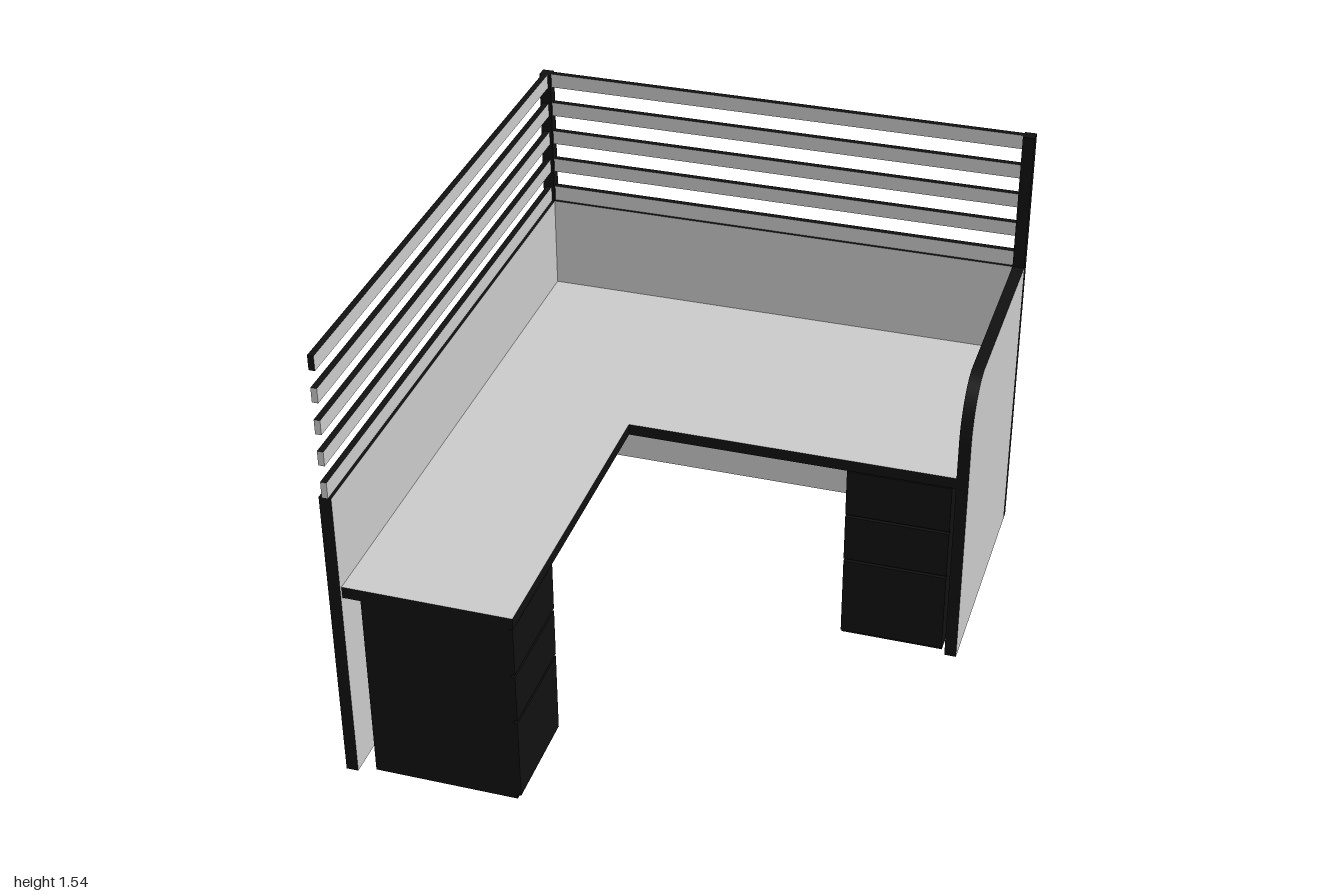
import * as THREE from 'three';

const grey = new THREE.MeshStandardMaterial({ color: 0xcccccc });
const black = new THREE.MeshStandardMaterial({ color: 0x111111 });

// Overall limits and wall thickness
const X = 0.87, Z = 1, T = 0.04;
const WALL = 1.05, TOP = 1.54;
const INNER = X - T, BACK = -Z + T, FRONT = -0.12;

// Box given by its minimum and maximum corners
function box(name, min, max, material) {
  const size = max.map((v, i) => v - min[i]);
  const mesh = new THREE.Mesh(new THREE.BoxGeometry(...size), material);
  mesh.position.set(...max.map((v, i) => (v + min[i]) / 2));
  mesh.name = name;
  return mesh;
}

// Drawer pedestal facing +z, with its front centre at the origin
function pedestal(name) {
  const g = new THREE.Group();
  g.name = name;
  const w = 0.175, front = 0.012;
  g.add(box('cabinetBody', [-w, 0.01, -0.49], [w, 0.68, -front], black));
  const levels = [0.02, 0.32, 0.5, 0.68];
  for (let i = 0; i < 3; i++) {
    g.add(box('drawerFront', [-w, levels[i] + 0.005, -front], [w, levels[i + 1] - 0.005, 0], black));
  }
  return g;
}

export function createModel() {
  const model = new THREE.Group();
  model.name = 'cubicleWorkstation';

  // Panels: grey faces with black edges (material order +x -x +y -y +z -z)
  const alongZ = [grey, grey, black, black, black, black];
  const alongX = [black, black, black, black, grey, grey];
  model.add(box('sidePanel', [-X, 0, BACK], [-INNER, WALL, Z], alongZ));
  model.add(box('backPanel', [-INNER, 0, -Z], [INNER, WALL, BACK], alongX));

  // Corner posts
  model.add(box('cornerPost', [-X, 0, -Z], [-INNER, TOP, BACK], black));
  model.add(box('cornerPost', [INNER, 0, -Z], [X, TOP, BACK], black));

  // Short end panel with a rounded upper front corner
  const end = new THREE.Shape();
  end.moveTo(BACK, 0);
  end.lineTo(FRONT, 0);
  end.lineTo(FRONT, 0.85);
  end.absellipse(-0.28, 0.85, 0.16, 0.2, 0, Math.PI / 2, false);
  end.lineTo(BACK, WALL);
  end.closePath();
  const endGeo = new THREE.ExtrudeGeometry(end, { depth: T, bevelEnabled: false, curveSegments: 24 });
  endGeo.rotateY(-Math.PI / 2).translate(X, 0, 0);
  const endPanel = new THREE.Mesh(endGeo, [grey, black]);
  endPanel.name = 'roundedEndPanel';
  model.add(endPanel);

  // Horizontal slats above the two tall panels
  const half = 0.01, mid = X - T / 2;
  for (let i = 0; i < 5; i++) {
    const y0 = i === 0 ? WALL : 1.055 + i * 0.109;
    const y1 = 1.105 + i * 0.109;
    const tip = i === 4 ? black : grey;
    model.add(box('sideSlat', [-mid - half, y0, BACK], [-mid + half, y1, Z],
      [grey, grey, black, black, tip, tip]));
    model.add(box('backSlat', [-INNER, y0, -Z + T / 2 - half], [INNER, y1, -Z + T / 2 + half], alongX));
  }

  // L-shaped worktop with black edge band (shape y is -z)
  const corners = [[-INNER, BACK], [-INNER, 0.99], [-0.28, 0.99], [-0.28, FRONT], [INNER, FRONT], [INNER, BACK]];
  const outline = new THREE.Shape(corners.map(([x, z]) => new THREE.Vector2(x, -z)));
  const deskGeo = new THREE.ExtrudeGeometry(outline, { depth: 0.04, bevelEnabled: false });
  deskGeo.rotateX(-Math.PI / 2).translate(0, 0.68, 0);
  const desk = new THREE.Mesh(deskGeo, [grey, black]);
  desk.name = 'worktop';
  model.add(desk);

  // Drawer pedestals under each end of the worktop
  const endPedestal = pedestal('endPedestal');
  endPedestal.position.set(0.643, 0, FRONT - 0.002);
  const sidePedestal = pedestal('sidePedestal');
  sidePedestal.rotation.y = Math.PI / 2;
  sidePedestal.position.set(-0.282, 0, 0.813);
  model.add(endPedestal, sidePedestal);

  return model;
}
